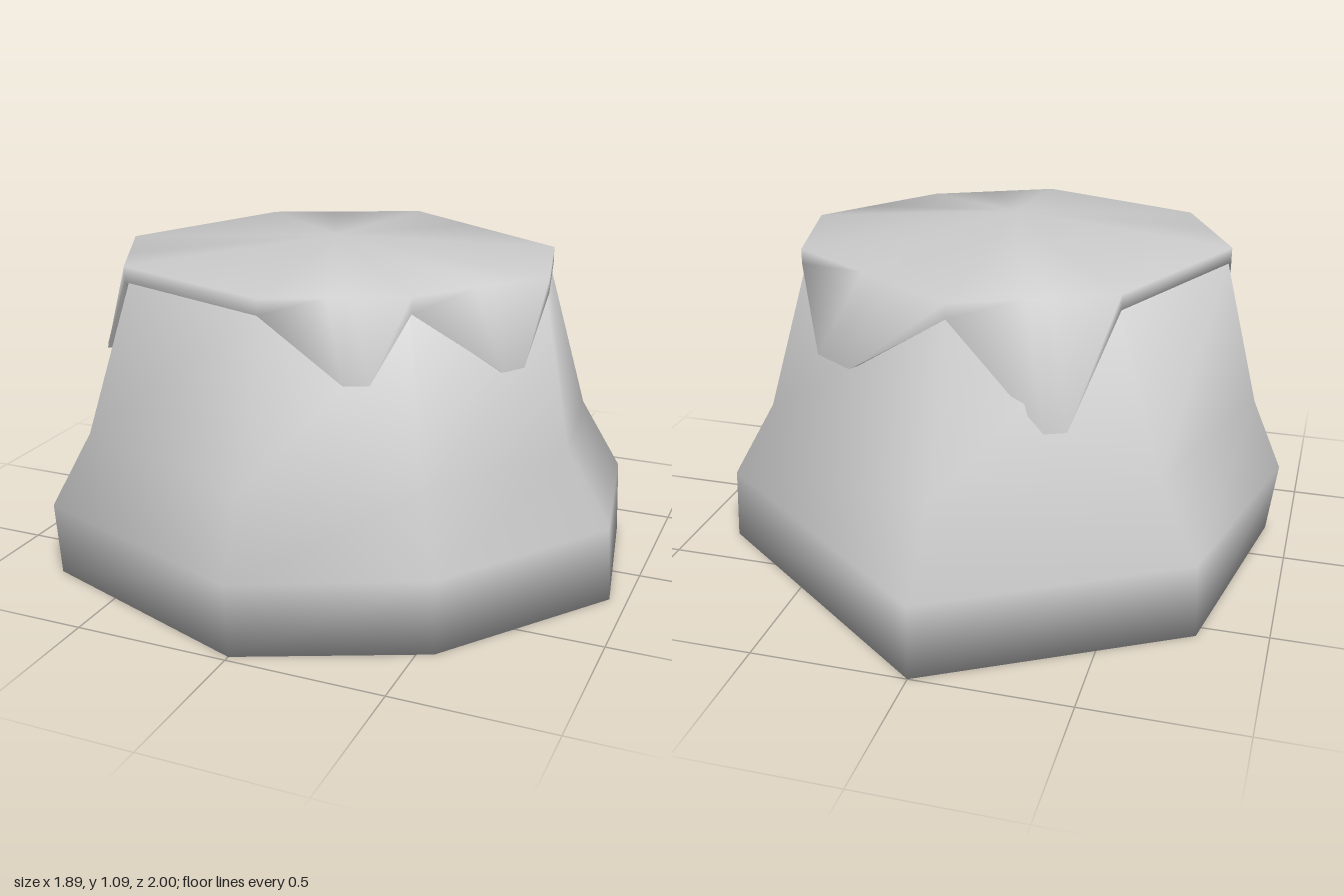
import * as THREE from 'three';

// Smooth skin over stacked rings (bottom to top), with optional centre points closing the ends.
function loft(name, rings, bottom, top) {
  const n = rings[0].length;
  const pos = rings.flat(2);
  const index = [];
  for (let r = 0; r < rings.length - 1; r++) {
    for (let i = 0; i < n; i++) {
      const j = (i + 1) % n;
      const a = r * n + i, b = r * n + j, c = a + n, d = b + n;
      index.push(a, b, d, a, d, c);
    }
  }
  if (bottom) {
    const k = pos.length / 3;
    pos.push(...bottom);
    for (let i = 0; i < n; i++) index.push((i + 1) % n, i, k);
  }
  if (top) {
    const k = pos.length / 3, s = (rings.length - 1) * n;
    pos.push(...top);
    for (let i = 0; i < n; i++) index.push(s + i, s + (i + 1) % n, k);
  }
  const geo = new THREE.BufferGeometry();
  geo.setAttribute('position', new THREE.Float32BufferAttribute(pos, 3));
  geo.setIndex(index);
  geo.computeVertexNormals();
  const mat = new THREE.MeshStandardMaterial({ color: 0xcccccc, side: THREE.DoubleSide });
  const mesh = new THREE.Mesh(geo, mat);
  mesh.name = name;
  return mesh;
}

// Ring of [x, z] points at height y
const ring = (y, pts) => pts.map(([x, z]) => [x, y, z]);

export function createModel() {
  const group = new THREE.Group();
  group.name = 'cappedStump';

  // Eight-sided body: foot, widest ring, shoulder, neck
  group.add(loft('body', [
    ring(0, [[0, 0.98], [0.55, 0.735], [0.945, 0.2], [0.85, -0.34], [0, -1], [-0.78, -0.55], [-0.92, 0.2], [-0.76, 0.7]]),
    ring(0.24, [[0, 1], [0.55, 0.74], [0.93, 0.2], [0.84, -0.34], [0, -0.99], [-0.77, -0.54], [-0.95, 0.2], [-0.77, 0.71]]),
    ring(0.48, [[0, 0.91], [0.48, 0.66], [0.785, 0.19], [0.72, -0.27], [0, -0.81], [-0.64, -0.47], [-0.85, 0.19], [-0.66, 0.64]]),
    ring(0.97, [[0, 0.73], [0.39, 0.55], [0.69, 0.18], [0.6, -0.2], [0, -0.57], [-0.47, -0.36], [-0.73, 0.18], [-0.54, 0.55]]),
  ], [0, 0, 0.1], [0, 1, 0.18]));

  // Cap corners, each followed by the drip on the side after it: [x, z, x, z, y]
  const corners = [[0, 0.745], [0.4, 0.56], [0.7, 0.18], [0.61, -0.21],
    [0, -0.585], [-0.48, -0.37], [-0.74, 0.18], [-0.55, 0.56]];
  const drips = {
    0: [0.25, 0.71, 0.32, 0.68, 0.78],
    1: [0.62, 0.37, 0.665, 0.3, 0.765],
    3: [0.49, -0.395, 0.35, -0.485, 0.735],
    4: [-0.3, -0.59, -0.365, -0.56, 0.64],
    6: [-0.715, 0.42, -0.685, 0.47, 0.715],
  };
  const hem = [], rim = [];
  corners.forEach(([x, z], i) => {
    hem.push([x, 0.97, z]);
    rim.push([x, 1.02, z]);
    const d = drips[i];
    if (!d) return;
    const [nx, nz] = corners[(i + 1) % corners.length];
    hem.push([d[0], d[4], d[1]], [d[2], d[4], d[3]]);
    for (const t of [0.45, 0.6]) rim.push([x + (nx - x) * t, 1.02, z + (nz - z) * t]);
  });
  // Underside lip turned in toward the body
  const lip = hem.map(([x, y, z]) => [x * 0.95, y, 0.18 + (z - 0.18) * 0.95]);
  group.add(loft('cap', [lip, hem, rim], null, [0, 1.09, 0.18]));

  return group;
}
